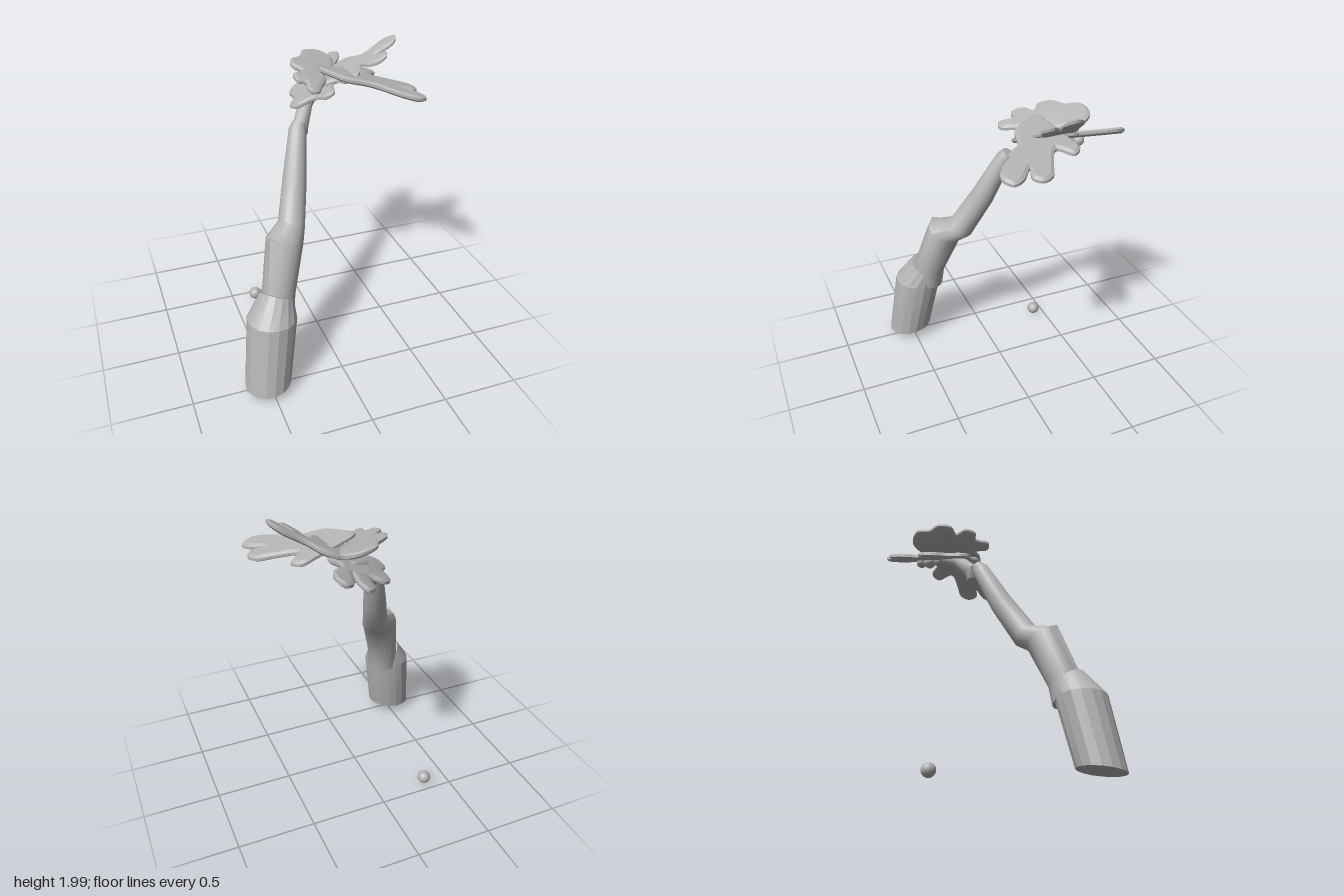
import * as THREE from 'three';
import { mergeVertices, toCreasedNormals } from 'three/addons/utils/BufferGeometryUtils.js';

const V = (x, y, z) => new THREE.Vector3(x, y, z);
const UP = V(0, 1, 0);

// Loft through rings given as [centre, radius, normal]
function limb(rings, sides, crease) {
  const n = rings.length - 1;
  const g = new THREE.CylinderGeometry(1, 1, 1, sides, n);
  const p = g.attributes.position;
  const turns = rings.map(r => new THREE.Quaternion().setFromUnitVectors(UP, r[2].clone().normalize()));
  for (let i = 0; i < p.count; i++) {
    const k = Math.round((p.getY(i) + 0.5) * n);
    const v = V(p.getX(i), 0, p.getZ(i)).multiplyScalar(rings[k][1]);
    v.applyQuaternion(turns[k]).add(rings[k][0]);
    p.setXYZ(i, v.x, v.y, v.z);
  }
  g.deleteAttribute('uv');
  g.deleteAttribute('normal');
  return toCreasedNormals(mergeVertices(g, 1e-4), crease);
}

// Bevelled lobed plate: outline in plan (x, z), lifted by a height rule
function frond(outline, height) {
  const curve = new THREE.CatmullRomCurve3(outline.map(([x, z]) => V(x, -z, 0)), true, 'centripetal');
  const points = curve.getPoints(outline.length * 4).slice(0, -1);
  const g = new THREE.ExtrudeGeometry(new THREE.Shape(points.map(q => new THREE.Vector2(q.x, q.y))), {
    depth: 0.016, bevelEnabled: true, bevelThickness: 0.012, bevelSize: 0.018,
    bevelOffset: -0.018, bevelSegments: 1, steps: 1,
  });
  g.rotateX(-Math.PI / 2);
  const p = g.attributes.position;
  for (let i = 0; i < p.count; i++) {
    p.setY(i, p.getY(i) - 0.008 + height(p.getX(i), p.getZ(i)));
  }
  g.deleteAttribute('uv');
  g.deleteAttribute('normal');
  return toCreasedNormals(g, 0.5);
}

export function createModel() {
  const group = new THREE.Group();
  const grey = new THREE.MeshStandardMaterial({ color: 0xb4b4b4 });
  grey.name = 'plain grey';
  const add = (name, geometry) => {
    const m = new THREE.Mesh(geometry, grey);
    m.name = name;
    group.add(m);
    return m;
  };

  // Thick foot of the trunk with a tapered shoulder
  add('trunkBase', limb([
    [V(-0.515, 0.055, 0.515), 0.148, V(-0.1, 1, 0.1)],
    [V(-0.455, 0.5, 0.445), 0.157, V(0.02, 1, -0.02)],
    [V(-0.405, 0.615, 0.395), 0.108, V(0.45, 1, -0.45)],
  ], 16, 0.35));

  // Bent middle section and long slender upper section
  add('trunkMiddle', limb([
    [V(-0.4, 0.5, 0.39), 0.105, V(0.2, 1, -0.2)],
    [V(-0.385, 0.63, 0.372), 0.105, V(0.3, 1, -0.3)],
    [V(-0.31, 0.925, 0.275), 0.118, V(0.35, 1, -0.35)],
    [V(-0.235, 0.975, 0.185), 0.087, V(0.5, 1, -0.5)],
    [V(-0.165, 1.22, 0.05), 0.076, V(0.35, 1, -0.5)],
    [V(-0.1, 1.49, -0.075), 0.056, V(0.4, 1, -0.45)],
    [V(-0.085, 1.53, -0.095), 0.04, V(0.5, 1, -0.5)],
  ], 16, 0.7));

  // Ridge on the outside of the elbow
  add('elbowRidge', limb([
    [V(-0.45, 0.64, 0.42), 0.03, V(0.2, 1, -0.2)],
    [V(-0.38, 0.965, 0.31), 0.045, V(0.35, 1, -0.35)],
  ], 6, 0.5));

  // Short neck reaching into the crown
  add('trunkNeck', limb([
    [V(-0.05, 1.435, -0.125), 0.032, V(0.2, 1, -0.1)],
    [V(-0.06, 1.5, -0.13), 0.05, V(0.4, 1, -0.4)],
    [V(0.0, 1.6, -0.21), 0.046, V(0.8, 1, -0.8)],
    [V(0.1, 1.67, -0.3), 0.04, V(1, 0.7, -1)],
    [V(0.17, 1.7, -0.35), 0.03, V(1, 0.5, -0.8)],
  ], 14, 0.8));

  // Crown of four lobed fronds
  add('topFrond', frond([
    [-0.02, -0.235], [-0.065, -0.28], [-0.045, -0.36], [0.03, -0.41], [0.08, -0.49], [0.2, -0.5],
    [0.255, -0.42], [0.23, -0.33], [0.2, -0.26], [0.13, -0.22], [0.12, -0.16], [0.06, -0.07],
    [0.01, 0], [-0.045, -0.01], [-0.035, -0.1], [-0.085, -0.11], [-0.09, -0.18],
  ], (x, z) => 1.795 - 0.2 * x - 0.25 * (z + 0.2)));

  add('raisedFrond', frond([
    [0.11, -0.18], [0.17, -0.26], [0.23, -0.36], [0.34, -0.35], [0.41, -0.275], [0.55, -0.265],
    [0.6, -0.2], [0.56, -0.14], [0.46, -0.165], [0.5, -0.11], [0.48, -0.06], [0.42, -0.07],
    [0.375, -0.12], [0.36, -0.17], [0.3, -0.07], [0.22, -0.08], [0.19, -0.14],
  ], x => 1.688 + 0.22 * x + 0.44 * x * x));

  add('sideFrond', frond([
    [0.08, -0.2], [0.13, -0.1], [0.2, -0.01], [0.34, 0.035], [0.49, 0.19], [0.58, 0.235],
    [0.645, 0.19], [0.62, 0.12], [0.54, 0.05], [0.62, 0.07], [0.66, 0.02], [0.63, -0.05],
    [0.53, -0.1], [0.42, -0.17], [0.49, -0.25], [0.44, -0.31], [0.35, -0.29], [0.2, -0.25],
  ], x => 1.84 - 0.225 * x));

  add('rearFrond', frond([
    [-0.1, -0.22], [-0.05, -0.3], [-0.04, -0.42], [0.03, -0.485], [0.11, -0.47], [0.13, -0.59],
    [0.2, -0.66], [0.235, -0.6], [0.22, -0.49], [0.27, -0.62], [0.33, -0.665], [0.37, -0.61],
    [0.34, -0.51], [0.25, -0.4], [0.31, -0.36], [0.25, -0.25], [0.17, -0.16], [0.13, -0.04],
    [0.07, -0.05], [0.03, -0.12], [-0.08, -0.15],
  ], (x, z) => 1.655 + 0.45 * x + 0.08 * z));

  // Nuts: three under the crown, one fallen on the ground
  const nuts = [
    ['hangingNut', 0.12, 1.655, -0.32, 0.036], ['hangingNut', 0.155, 1.66, -0.38, 0.042],
    ['hangingNut', 0.2, 1.675, -0.43, 0.036], ['fallenNut', -0.34, 0.043, -0.425, 0.043],
  ];
  for (const [name, x, y, z, r] of nuts) {
    add(name, new THREE.SphereGeometry(r, 24, 16)).position.set(x, y, z);
  }
  return group;
}
